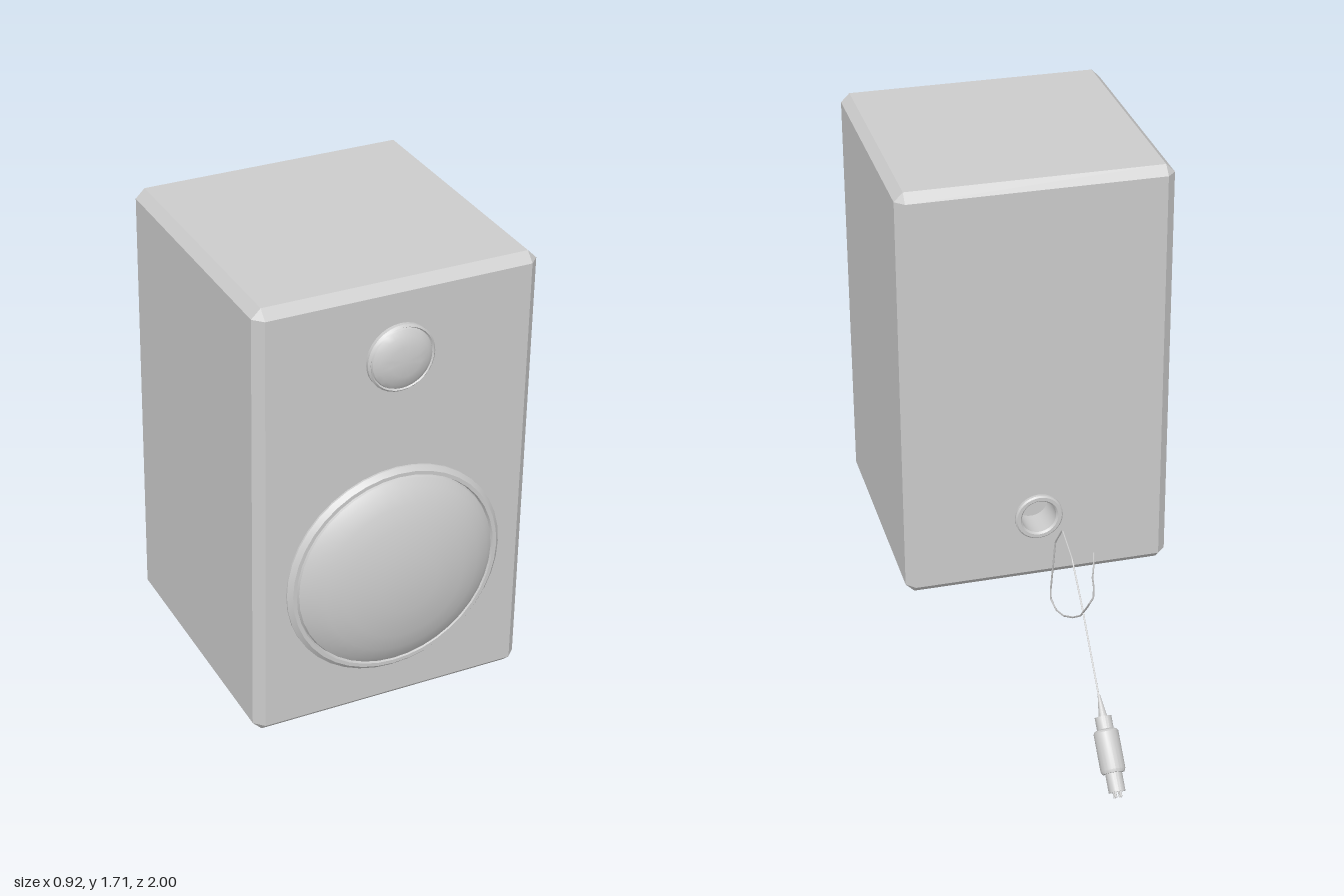
import * as THREE from 'three';
import { toCreasedNormals } from 'three/addons/utils/BufferGeometryUtils.js';
import { ConvexGeometry } from 'three/addons/geometries/ConvexGeometry.js';

const grey = new THREE.MeshStandardMaterial({ color: 0xcccccc });
const flat = new THREE.MeshStandardMaterial({ color: 0xcccccc, flatShading: true });

const W = 0.46, BOTTOM = 0.23, TOP = 1.71, BACK = -0.02, FRONT = 0.9, BEVEL = 0.03;
const PORT_Y = 0.48;

function mesh(name, geometry, material = grey) {
  const m = new THREE.Mesh(geometry, material);
  m.name = name;
  return m;
}

// Turned part; profile is [radius, height] pairs
function turned(name, profile, segments = 40) {
  const points = profile.map(([r, h]) => new THREE.Vector2(r, h));
  return mesh(name, toCreasedNormals(new THREE.LatheGeometry(points, segments), 0.45));
}

// Bevelled box, left open at the back for the panel with the port hole
function cabinetShell() {
  const half = [W, (TOP - BOTTOM) / 2, (FRONT - BACK) / 2];
  const points = [];
  for (const sx of [-1, 1]) for (const sy of [-1, 1]) for (const sz of [-1, 1]) {
    for (let face = 0; face < 3; face++) {
      const c = half.map((h, i) => (i === face ? h : h - BEVEL));
      points.push(new THREE.Vector3(sx * c[0], sy * c[1], sz * c[2]));
    }
  }
  const p = new ConvexGeometry(points).getAttribute('position');
  const kept = [];
  for (let i = 0; i < p.count; i += 3) {
    const isBack = [0, 1, 2].every(k => p.getZ(i + k) < -half[2] + 1e-4);
    if (!isBack) for (let k = 0; k < 3; k++) kept.push(p.getX(i + k), p.getY(i + k), p.getZ(i + k));
  }
  const g = new THREE.BufferGeometry();
  g.setAttribute('position', new THREE.Float32BufferAttribute(kept, 3));
  g.translate(0, (TOP + BOTTOM) / 2, (FRONT + BACK) / 2);
  g.computeVertexNormals();
  return g;
}

function backPanel() {
  const x = W - BEVEL, lo = BOTTOM + BEVEL, hi = TOP - BEVEL;
  const shape = new THREE.Shape([
    new THREE.Vector2(-x, lo), new THREE.Vector2(x, lo),
    new THREE.Vector2(x, hi), new THREE.Vector2(-x, hi),
  ]);
  shape.holes.push(new THREE.Path().absarc(0, PORT_Y, 0.07, 0, Math.PI * 2, true));
  return new THREE.ShapeGeometry(shape, 20).rotateY(Math.PI).translate(0, 0, BACK);
}

export function createModel() {
  const model = new THREE.Group();
  model.name = 'speaker';

  // Cabinet
  model.add(mesh('cabinet', cabinetShell(), flat), mesh('backPanel', backPanel(), flat));

  // Large driver: rim, groove and dome
  const woofer = turned('woofer', [
    [0.362, 0], [0.362, 0.006], [0.348, 0.02], [0.336, 0.02], [0.332, 0.008], [0.328, 0.02],
    [0.305, 0.038], [0.26, 0.06], [0.2, 0.08], [0.1, 0.098], [0, 0.1],
  ]);
  woofer.rotation.x = Math.PI / 2;
  woofer.position.set(0, 0.73, FRONT);

  // Small driver
  const tweeter = turned('tweeter', [
    [0.11, 0], [0.11, 0.012], [0.104, 0.018], [0.1, 0.012], [0.097, 0.018],
    [0.08, 0.03], [0.05, 0.038], [0, 0.041],
  ], 32);
  tweeter.rotation.x = Math.PI / 2;
  tweeter.position.set(0, 1.47, FRONT);

  // Bass port: raised rim and hollow tube
  const port = turned('bassPort', [
    [0.083, 0], [0.083, 0.01], [0.078, 0.015], [0.066, 0.015], [0.06, 0.008], [0.06, -0.1], [0, -0.1],
  ], 32);
  port.rotation.x = -Math.PI / 2;
  port.position.set(0, PORT_Y, BACK);
  model.add(woofer, tweeter, port);

  // Cable, looping from the cabinet to the plug
  const route = [
    [-0.2, 0.3, -0.01], [-0.185, 0.285, -0.06], [-0.17, 0.287, -0.11], [-0.14, 0.32, -0.2],
    [-0.1, 0.385, -0.35], [-0.04, 0.48, -0.55], [0, 0.52, -0.64], [0, 0.485, -0.61],
    [0, 0.41, -0.54], [0, 0.345, -0.45], [0, 0.28, -0.34], [0, 0.245, -0.25],
    [0, 0.245, -0.18], [0, 0.285, -0.18], [0, 0.505, -0.235], [0, 0.603, -0.32],
    [0, 0.565, -0.435], [0, 0.465, -0.55], [0, 0.245, -0.76],
  ].map(p => new THREE.Vector3(...p));
  const path = new THREE.CurvePath();
  for (let i = 1; i < route.length; i++) path.add(new THREE.LineCurve3(route[i - 1], route[i]));
  model.add(mesh('cable', new THREE.TubeGeometry(path, 160, 0.003, 6)));

  // Plug: strain relief, collar, grip and metal sleeve, with pins
  const plug = new THREE.Group();
  plug.name = 'plug';
  plug.add(turned('plugBody', [
    [0, 0], [0.004, 0], [0.014, 0.07], [0.027, 0.07], [0.027, 0.11], [0.036, 0.114], [0.04, 0.12],
    [0.04, 0.24], [0.036, 0.25], [0.027, 0.25], [0.027, 0.31], [0.023, 0.31], [0.023, 0.295], [0, 0.295],
  ], 20));
  for (let i = 0; i < 4; i++) {
    const a = Math.PI / 4 + i * Math.PI / 2;
    const pin = mesh('plugPin', new THREE.CylinderGeometry(0.004, 0.004, 0.04, 8));
    pin.position.set(0.012 * Math.cos(a), 0.308, 0.012 * Math.sin(a));
    plug.add(pin);
  }
  plug.position.set(0, 0.25, -0.76);
  plug.quaternion.setFromUnitVectors(
    new THREE.Vector3(0, 1, 0), new THREE.Vector3(0, -0.72, -0.69).normalize());
  model.add(plug);

  return model;
}
